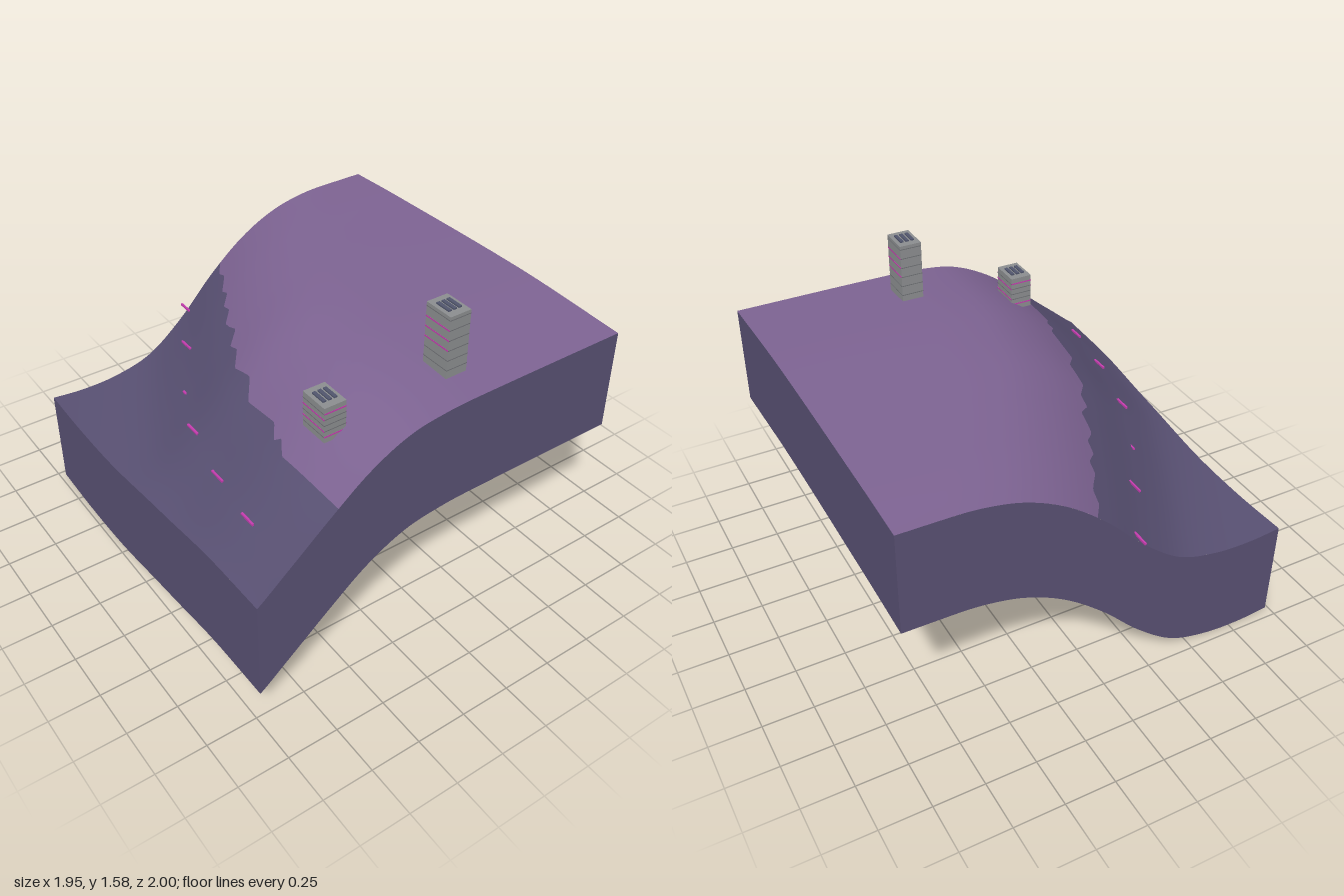
import * as THREE from 'three';

const X0 = -0.975, X1 = 0.975, Z0 = -0.955, Z1 = 1, DEPTH = 0.518;

// Straight and smooth interpolation through [key, value] points in ascending order
function locate(points, k) {
  let i = 0;
  while (i < points.length - 2 && k > points[i + 1][0]) i++;
  const [a, b] = [points[i], points[i + 1]];
  return [i, THREE.MathUtils.clamp((k - a[0]) / (b[0] - a[0]), 0, 1)];
}
function linear(points, k) {
  const [i, t] = locate(points, k);
  return THREE.MathUtils.lerp(points[i][1], points[i + 1][1], t);
}
function smooth(points, k) {
  const [i, t] = locate(points, k);
  const slope = (n) => {
    const a = points[Math.max(n - 1, 0)], b = points[Math.min(n + 1, points.length - 1)];
    return (b[1] - a[1]) / (b[0] - a[0]);
  };
  const [a, b] = [points[i], points[i + 1]], w = b[0] - a[0], t2 = t * t, t3 = t2 * t;
  return (2 * t3 - 3 * t2 + 1) * a[1] + (t3 - 2 * t2 + t) * w * slope(i)
    + (3 * t2 - 2 * t3) * b[1] + (t3 - t2) * w * slope(i + 1);
}

// Slope profiles at the two ends, measured from the middle of the hillside
const BACK = [[-1.05, 0.017], [-0.85, 0], [-0.65, 0.012], [-0.45, 0.07], [-0.25, 0.22], [-0.05, 0.42],
  [0.15, 0.58], [0.35, 0.68], [0.55, 0.725], [0.75, 0.734], [1.6, 0.735]];
const FRONT = [[-1.05, 0.017], [-0.85, 0], [-0.65, 0.02], [-0.45, 0.11], [-0.25, 0.27], [-0.05, 0.438],
  [0.15, 0.592], [0.35, 0.69], [0.55, 0.724], [0.75, 0.732], [1.6, 0.735]];
// Middle of the hillside, and rise of the plateau, along z
const HILL = [[-0.955, 0.05], [-0.6, -0.14], [-0.3, -0.29], [0, -0.425], [0.3, -0.5], [0.6, -0.555], [1, -0.57]];
const RISE = [[-0.955, 0.01], [-0.6, 0.02], [0.35, 0.028], [1, 0]];
// Ragged border between upper and lower ground
const BORDER = [[-0.955, 0.06], [-0.87, 0], [-0.8, -0.01], [-0.75, -0.045], [-0.69, -0.09], [-0.63, -0.095],
  [-0.56, -0.16], [-0.49, -0.17], [-0.42, -0.235], [-0.37, -0.245], [-0.3, -0.25], [-0.23, -0.325],
  [-0.16, -0.33], [-0.06, -0.405], [0.08, -0.41], [0.19, -0.49], [0.42, -0.5], [0.49, -0.55],
  [0.52, -0.53], [0.59, -0.575], [1, -0.575]];

function height(x, z) {
  const u = x - smooth(HILL, z), t = (z - Z0) / (Z1 - Z0);
  const p = THREE.MathUtils.lerp(smooth(BACK, u), smooth(FRONT, u), t);
  return DEPTH + p + smooth(RISE, z) * p / 0.735;
}

// Surface from a rule (u, v) -> [x, y, z]; it faces along dv x du
function sheet(fn, nu, nv) {
  const pos = [], index = [];
  for (let j = 0; j <= nv; j++) for (let i = 0; i <= nu; i++) pos.push(...fn(i / nu, j / nv));
  for (let j = 0; j < nv; j++) for (let i = 0; i < nu; i++) {
    const a = j * (nu + 1) + i, c = a + nu + 1;
    index.push(a, c, a + 1, a + 1, c, c + 1);
  }
  const g = new THREE.BufferGeometry();
  g.setAttribute('position', new THREE.Float32BufferAttribute(pos, 3));
  g.setIndex(index);
  g.computeVertexNormals();
  return g;
}

export function createModel() {
  const model = new THREE.Group();
  const material = (name, color, side = THREE.FrontSide) => {
    const m = new THREE.MeshStandardMaterial({ color, side });
    m.name = name;
    return m;
  };
  const upper = material('upper ground purple', 0x7d6392, THREE.DoubleSide);
  const lower = material('lower ground slate', 0x585072, THREE.DoubleSide);
  const grey = material('tower grey', 0x8b8d8f);
  const dark = material('vent slate', 0x50556c);
  const seam = material('floor seam grey', 0x6c6e72);
  const pink = material('magenta light', 0xc43cae);
  const add = (parent, name, geometry, mat, x = 0, y = 0, z = 0) => {
    const mesh = new THREE.Mesh(geometry, mat);
    mesh.name = name;
    mesh.position.set(x, y, z);
    parent.add(mesh);
    return mesh;
  };

  // Ground, split along the ragged border
  const ground = (from, to) => sheet((u, v) => {
    const z = THREE.MathUtils.lerp(Z0, Z1, v), x = THREE.MathUtils.lerp(from(z), to(z), u);
    return [x, height(x, z), z];
  }, 36, 130);
  const border = (z) => linear(BORDER, z);
  add(model, 'upperGround', ground(border, () => X1), upper);
  add(model, 'lowerGround', ground(() => X0, border), lower);

  // Skirt walls following the ground edge, open underneath
  const wall = (name, ax, az, bx, bz) => add(model, name, sheet((u, v) => {
    const x = THREE.MathUtils.lerp(ax, bx, u), z = THREE.MathUtils.lerp(az, bz, u);
    return [x, height(x, z) - DEPTH * v, z];
  }, 60, 1), lower);
  wall('frontWall', X0, Z1, X1, Z1);
  wall('leftWall', X1, Z1, X1, Z0);
  wall('backWall', X1, Z0, X0, Z0);
  wall('rightWall', X0, Z0, X0, Z1);

  // Towers with floor seams, light strips and roof vents
  const W = 0.112, D = 0.154;
  function tower(name, x, z, base, top, floors, lit) {
    const g = new THREE.Group(), h = top - base, step = h / floors;
    g.name = name;
    g.position.set(x, base, z);
    add(g, 'towerBody', new THREE.BoxGeometry(W, h, D), grey, 0, h / 2, 0);
    for (let f = 1; f < floors; f++) {
      for (const s of [-1, 1]) {
        const frontLit = lit.z.includes(f), sideLit = lit.x.includes(f);
        add(g, 'floorStrip', new THREE.BoxGeometry(W, frontLit ? 0.007 : 0.004, 0.002),
          frontLit ? pink : seam, 0, f * step, s * D / 2);
        add(g, 'floorStrip', new THREE.BoxGeometry(0.002, sideLit ? 0.007 : 0.004, D),
          sideLit ? pink : seam, s * W / 2, f * step, 0);
      }
    }
    for (const i of [-1, 0, 1]) {
      add(g, 'roofVent', new THREE.BoxGeometry(0.017, 0.008, 0.08), dark, i * 0.028, h + 0.003, 0);
    }
    model.add(g);
  }
  tower('tallTower', 0.16, 0.757, 1.25, 1.568, 6.36, { x: [3, 4, 5], z: [] });
  tower('shortTower', -0.41, 0.668, 1.112, 1.29, 6, { x: [2, 4], z: [1, 5] });

  // Row of marker lights along the lower ground: x, z, lift above ground
  const markers = [[-0.803, 0.665, 0.015], [-0.757, 0.345, 0.015], [-0.67, -0.02, 0.018],
    [-0.535, -0.3, -0.012], [-0.348, -0.635, 0.022], [-0.168, -0.955, 0.022]];
  for (const [x, z, lift] of markers) {
    add(model, 'markerLight', new THREE.BoxGeometry(0.01, 0.01, 0.09), pink, x, height(x, z) + lift, z);
  }
  return model;
}
